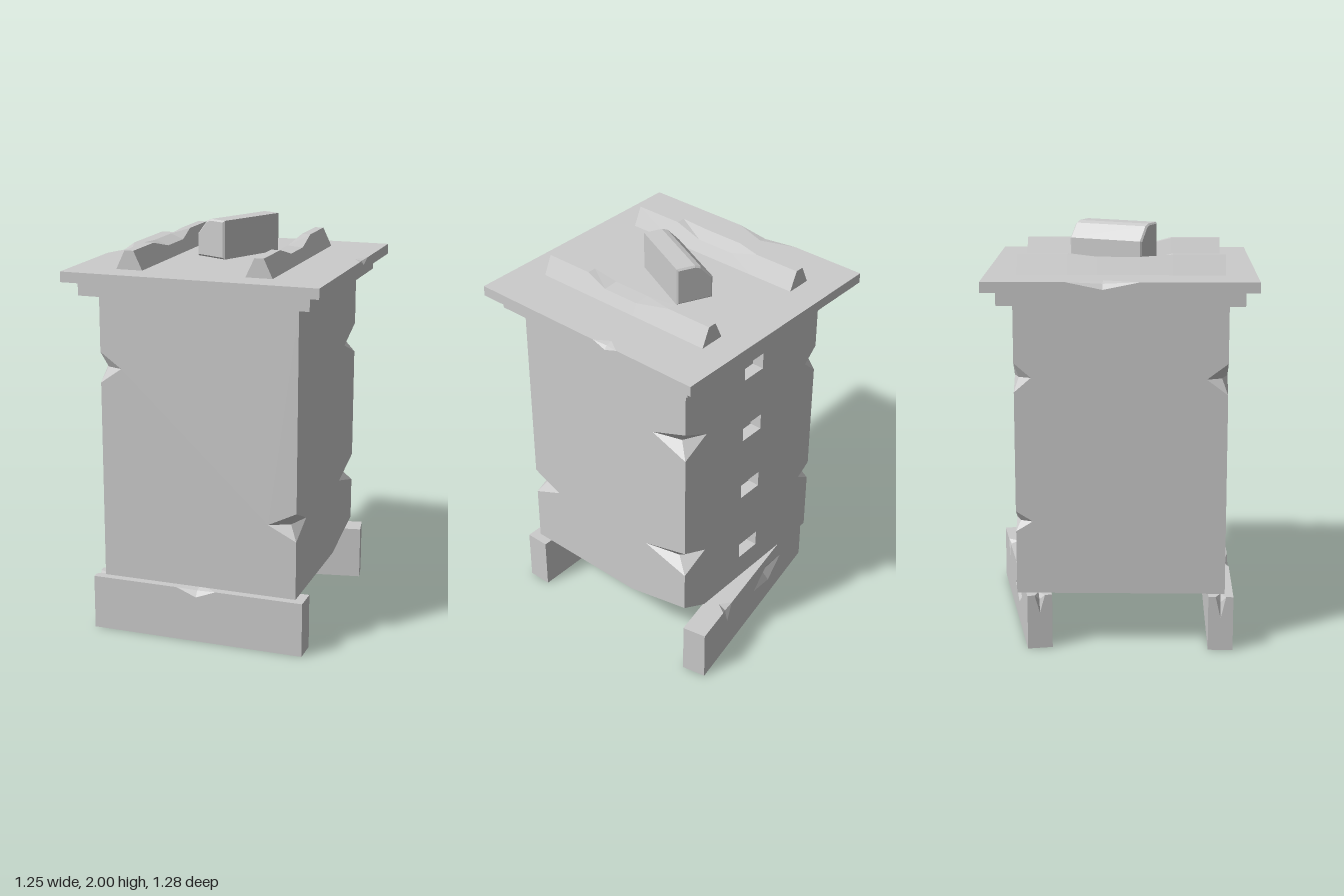
import * as THREE from 'three';

const material = new THREE.MeshStandardMaterial({ color: 0xcccccc, flatShading: true });

// Triangle soup whose triangles are turned to face a given direction
function soup() {
  const pos = [];
  const n = new THREE.Vector3(), e = new THREE.Vector3();
  return {
    tri(a, b, c, dir) {
      n.subVectors(b, a).cross(e.subVectors(c, a));
      for (const p of n.dot(dir) < 0 ? [a, c, b] : [a, b, c]) pos.push(p.x, p.y, p.z);
    },
    geometry() {
      const g = new THREE.BufferGeometry();
      g.setAttribute('position', new THREE.Float32BufferAttribute(pos, 3));
      g.computeVertexNormals();
      return g;
    },
  };
}

const vec = (a) => new THREE.Vector3(...a);

// Box between lo and hi with worn features:
// chips: { s: edge signs (0 on the running axis), t: position, d: tip depths (half length on running axis) }
// cuts:  { s: corner signs, d: distances cut off along each edge }
// holes: { k: axis, s: side, c: centre, h: half sizes, depth, diamond }
function wornBox(lo, hi, { chips = [], cuts = [], holes = [] } = {}) {
  const out = soup();
  const at = (s) => s.map((q, i) => (q > 0 ? hi[i] : lo[i]));
  const moved = (p, axis, by) => p.map((q, i) => (i === axis ? q + by : q));

  for (let k = 0; k < 3; k++) for (const side of [-1, 1]) {
    const u = (k + 1) % 3, v = (k + 2) % 3;
    const normal = vec([0, 1, 2].map((i) => (i === k ? side : 0)));
    const corners = [[-1, -1], [1, -1], [1, 1], [-1, 1]].map(([a, b]) => {
      const s = [0, 0, 0];
      s[k] = side; s[u] = a; s[v] = b;
      return s;
    });
    // outline with cut corners and chipped edges
    const loop = [];
    corners.forEach((s, i) => {
      const run = i % 2 ? v : u, before = i % 2 ? u : v;
      const cut = cuts.find((c) => c.s.every((q, j) => q === s[j]));
      if (cut) {
        for (const a of [before, run]) loop.push(moved(at(s), a, -s[a] * cut.d[a]));
      } else loop.push(at(s));
      const dir = -s[run], inward = run === u ? v : u;
      chips.filter((c) => c.s.every((q, j) => (j === run ? q === 0 : q === s[j])))
        .sort((a, b) => dir * (a.t - b.t))
        .forEach((c) => {
          const mid = at(s);
          mid[run] = c.t;
          loop.push(moved(mid, run, -dir * c.d[run]));
          loop.push(moved(mid, inward, -s[inward] * c.d[inward]));
          loop.push(moved(mid, run, dir * c.d[run]));
        });
    });
    // recesses in this face
    const rims = holes.filter((h) => h.k === k && h.s === side).map((h) => {
      const pattern = h.diamond ? [[-1, 0.2], [-0.1, -1], [1, -0.2], [0.1, 1]] : [[-1, -1], [1, -1], [1, 1], [-1, 1]];
      const centre = [...h.c];
      centre[k] = side > 0 ? hi[k] : lo[k];
      const rim = pattern.map(([a, b]) => moved(moved(centre, u, a * h.h[u]), v, b * h.h[v]));
      const floor = rim.map((p) => moved(h.diamond ? centre : p, k, -side * h.depth));
      rim.forEach((p, i) => {
        const j = (i + 1) % 4;
        const [a, b, c, d] = [p, rim[j], floor[j], floor[i]].map(vec);
        const dir = vec(centre).sub(a.clone().add(b).multiplyScalar(0.5));
        if (h.diamond) dir.addScaledVector(normal, 0.05);
        out.tri(a, b, c, dir);
        if (!h.diamond) out.tri(a, c, d, dir);
      });
      if (!h.diamond) {
        const f = floor.map(vec);
        out.tri(f[0], f[1], f[2], normal);
        out.tri(f[0], f[2], f[3], normal);
      }
      return rim;
    });
    const flat = (p) => new THREE.Vector2(p[u], p[v]);
    const all = [loop, ...rims].flat().map(vec);
    THREE.ShapeUtils.triangulateShape(loop.map(flat), rims.map((r) => r.map(flat)))
      .forEach(([a, b, c]) => out.tri(all[a], all[b], all[c], normal));
  }
  // dented surfaces of the chips
  for (const c of chips) {
    const run = c.s.indexOf(0), [b, d] = [(run + 1) % 3, (run + 2) % 3];
    const mid = at(c.s);
    mid[run] = c.t;
    const ends = [-1, 1].map((q) => vec(moved(mid, run, q * c.d[run])));
    const tips = [b, d].map((a) => vec(moved(mid, a, -c.s[a] * c.d[a])));
    const deep = vec(mid.map((q, i) => q - c.s[i] * c.d[i] * 0.28));
    for (const e of ends) for (const t of tips) out.tri(e, t, deep, vec(c.s));
  }
  for (const c of cuts) {
    const p = [0, 1, 2].map((a) => vec(moved(at(c.s), a, -c.s[a] * c.d[a])));
    out.tri(p[0], p[1], p[2], vec(c.s));
  }
  return out.geometry();
}

// Trapezoid bar lofted along z; each station is [z, left drop, right drop] of the worn top
function barGeometry(stations) {
  const out = soup();
  const height = 0.09, base = 0.065, top = 0.022;
  const half = (drop) => top + (base - top) * drop / height;
  const rings = stations.map(([z, l, r]) => [
    [-base, 0, z], [base, 0, z], [half(r), height - r, z], [-half(l), height - l, z]].map(vec));
  const dirs = [[0, -1, 0], [1, 0.4, 0], [0, 1, 0], [-1, 0.4, 0]].map(vec);
  for (let i = 0; i + 1 < rings.length; i++) for (let j = 0; j < 4; j++) {
    const m = (j + 1) % 4, A = rings[i], B = rings[i + 1];
    out.tri(A[j], A[m], B[m], dirs[j]);
    out.tri(A[j], B[m], B[j], dirs[j]);
  }
  [[rings[0], -1], [rings[rings.length - 1], 1]].forEach(([r, s]) => {
    out.tri(r[0], r[1], r[2], vec([0, 0, s]));
    out.tri(r[0], r[2], r[3], vec([0, 0, s]));
  });
  return out.geometry();
}

export function createModel() {
  const group = new THREE.Group();
  const add = (name, geometry, x = 0, y = 0, z = 0, turn = 0) => {
    const mesh = new THREE.Mesh(geometry, material);
    mesh.name = name;
    mesh.position.set(x, y, z);
    mesh.rotation.y = turn;
    group.add(mesh);
  };

  // Hive body with four entrance holes at the back and chipped corners
  add('hiveBody', wornBox([-0.49, 0.27, -0.49], [0.49, 1.68, 0.51], {
    chips: [
      { s: [1, 0, -1], t: 1.33, d: [0.15, 0.075, 0.2] },
      { s: [1, 0, -1], t: 0.63, d: [0.15, 0.07, 0.25] },
      { s: [-1, 0, -1], t: 1.33, d: [0.08, 0.07, 0.08] },
      { s: [-1, 0, -1], t: 0.63, d: [0.08, 0.05, 0.08] },
      { s: [1, 0, 1], t: 0.63, d: [0.14, 0.07, 0.16] },
      { s: [-1, 0, 1], t: 1.325, d: [0.105, 0.075, 0.1] },
    ],
    cuts: [{ s: [1, -1, -1], d: [0.15, 0.08, 0.35] }],
    holes: [0.44, 0.825, 1.175, 1.525].map((y) => (
      { k: 2, s: -1, c: [0, y, 0], h: [0.068, 0.042, 0], depth: 0.06 })),
  }));

  // Two-step roof
  add('roofRim', wornBox([-0.565, 1.68, -0.56], [0.56, 1.75, 0.58]));
  add('roofBoard', wornBox([-0.625, 1.75, -0.625], [0.62, 1.8, 0.64], {
    chips: [
      { s: [-1, 1, 0], t: -0.07, d: [0.06, 0.035, 0.17] },
      { s: [1, 1, 0], t: -0.13, d: [0.045, 0.025, 0.07] },
    ],
  }));

  // Worn battens on the roof
  add('rightBatten', barGeometry([
    [-0.475, 0, 0], [-0.24, 0, 0], [-0.1, 0.01, 0.035], [0.1, 0.01, 0.035], [0.25, 0, 0], [0.495, 0, 0]]), -0.34, 1.8);
  add('leftBatten', barGeometry([
    [-0.475, 0, 0], [-0.24, 0, 0], [-0.06, 0.03, 0.035], [0.13, 0.03, 0.035], [0.25, 0, 0], [0.495, 0, 0]]), 0.295, 1.8);

  // Weight stone lying askew, one long edge chamfered
  const bevel = 0.008;
  const profile = new THREE.Shape([[-0.082, 0.008], [0.082, 0.008], [0.082, 0.177], [0, 0.177], [-0.025, 0.168], [-0.082, 0.105]]
    .map(([x, y]) => new THREE.Vector2(x, y)));
  const stone = new THREE.ExtrudeGeometry(profile, {
    depth: 0.371, bevelEnabled: true, bevelThickness: bevel, bevelSize: bevel, bevelSegments: 1 });
  stone.translate(0, 0, -0.1855);
  add('weightStone', stone, 0.015, 1.815, -0.035, -0.44);

  // Support beams, the back one turned out of line
  const lo = [-0.535, 0, -0.06], hi = [0.535, 0.27, 0.06];
  add('frontBeam', wornBox(lo, hi, {
    chips: [
      { s: [0, 1, 1], t: 0, d: [0.1, 0.04, 0.07] },
      { s: [-1, 1, 0], t: 0, d: [0.05, 0.11, 0.025] },
    ],
    holes: [{ k: 2, s: -1, c: [0.14, 0.13, 0], h: [0.11, 0.05, 0], depth: 0.02, diamond: true }],
  }), 0, 0, 0.49);
  add('backBeam', wornBox(lo, hi, {
    chips: [
      { s: [0, 1, -1], t: 0.3, d: [0.045, 0.09, 0.05] },
      { s: [-1, 1, 0], t: 0, d: [0.05, 0.09, 0.025] },
      { s: [0, -1, 1], t: 0.06, d: [0.06, 0.07, 0.04] },
    ],
    holes: [{ k: 2, s: -1, c: [-0.14, 0.16, 0], h: [0.15, 0.06, 0], depth: 0.03, diamond: true }],
  }), 0, 0, -0.48, 0.19);

  return group;
}
